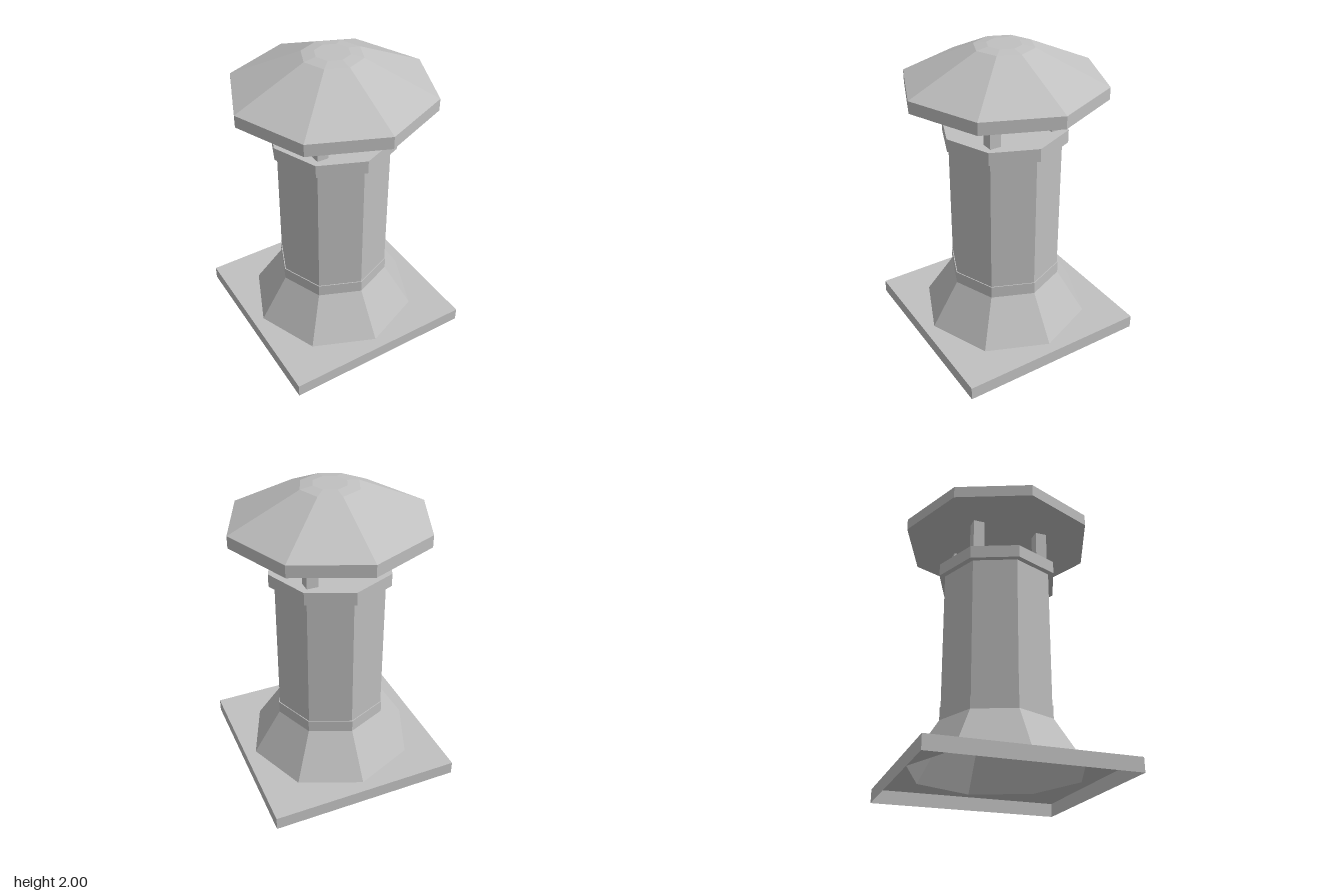
import * as THREE from 'three';

const SIDES = 8;

export function createModel() {
  const model = new THREE.Group();
  const metal = new THREE.MeshStandardMaterial({
    color: 0xc0c0c0, flatShading: true, side: THREE.DoubleSide,
  });
  metal.name = 'grey metal';

  const add = (name, geometry) => {
    const mesh = new THREE.Mesh(geometry, metal);
    mesh.name = name;
    model.add(mesh);
    return mesh;
  };

  // Faceted sheet turned from [radius, height] pairs, corners on the x and z axes
  const turned = (profile, sides = SIDES, start = 0) =>
    new THREE.LatheGeometry(profile.map(([r, y]) => new THREE.Vector2(r, y)), sides, start);

  // Square base tray, open underneath, with an eight-sided opening in its top
  const half = 0.64;
  const plate = new THREE.Shape();
  plate.moveTo(-half, -half).lineTo(half, -half).lineTo(half, half).lineTo(-half, half).closePath();
  const hole = new THREE.Path();
  for (let i = 0; i < SIDES; i++) {
    const a = -i * Math.PI * 2 / SIDES;
    const x = 0.565 * Math.cos(a), y = 0.565 * Math.sin(a);
    if (i) hole.lineTo(x, y); else hole.moveTo(x, y);
  }
  hole.closePath();
  plate.holes.push(hole);
  add('basePlate', new THREE.ShapeGeometry(plate).rotateX(-Math.PI / 2).translate(0, 0.09, 0));
  add('baseRim', turned([[half * Math.SQRT2, 0], [half * Math.SQRT2, 0.09]], 4, Math.PI / 4));

  // Flared skirt with its collar
  add('skirt', turned([[0.565, 0.09], [0.376, 0.39]]));
  add('collar', turned([[0.376, 0.39], [0.376, 0.473], [0.37, 0.473]]));

  // Pipe and the flange closing its top
  add('pipe', turned([[0.37, 0.473], [0.37, 1.392]]));
  add('flange', turned([[0.37, 1.392], [0.408, 1.392], [0.408, 1.477], [0, 1.477]]));

  // Four square posts carrying the cap
  for (const x of [-0.22, 0.22]) {
    for (const z of [-0.22, 0.22]) {
      add('post', new THREE.BoxGeometry(0.075, 0.225, 0.075)).position.set(x, 1.5895, z);
    }
  }

  // Rain cap
  add('cap', turned([[0, 1.702], [0.643, 1.702], [0.643, 1.78], [0.19, 1.988], [0.11, 2], [0, 2]]));

  return model;
}
